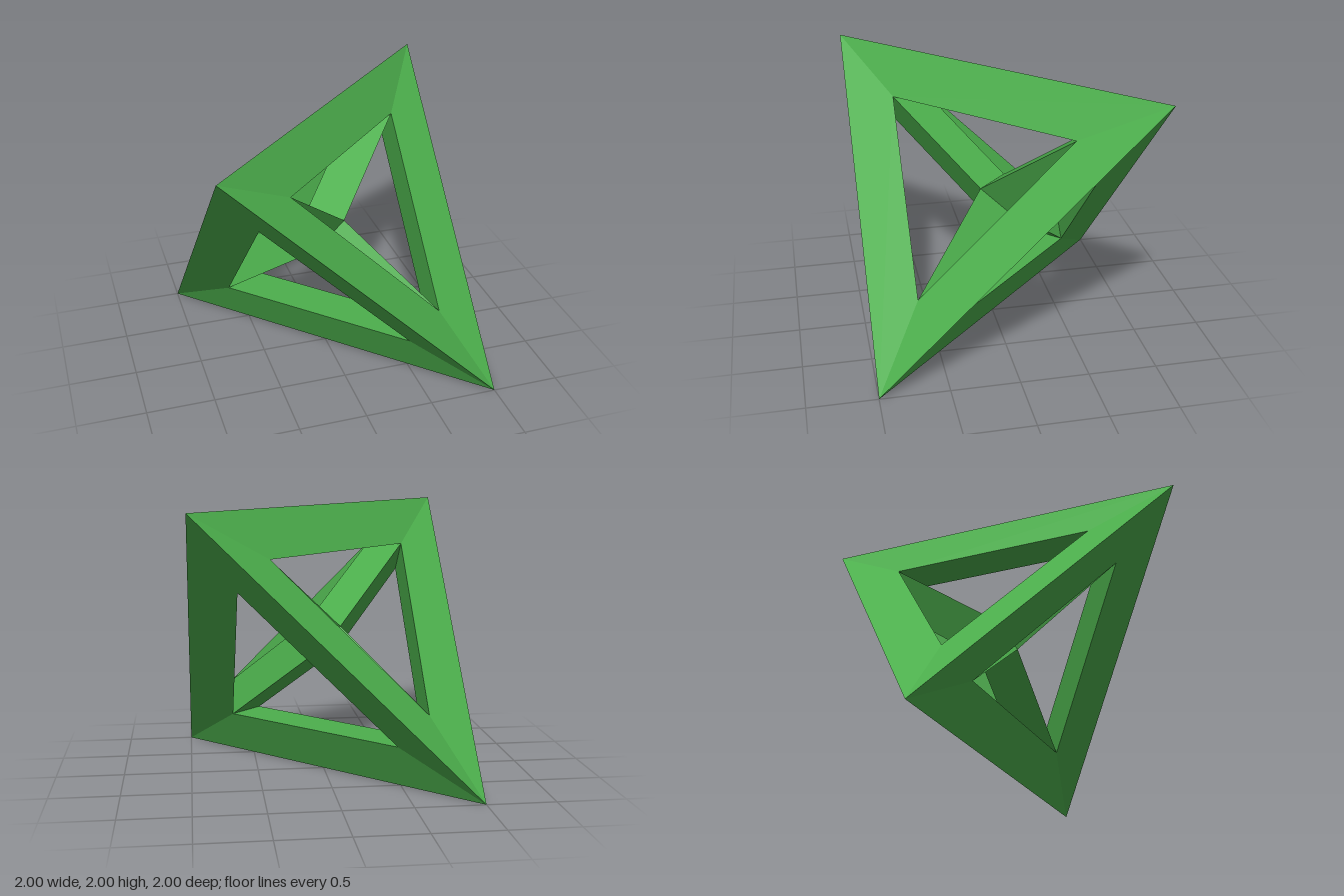
import * as THREE from 'three';

// Tetrahedral frame: six triangular edge bars plus four spokes meeting at the centre.
const corners = [[-1, 1, 1], [1, -1, 1], [1, 1, -1], [-1, -1, -1]].map(c => new THREE.Vector3(...c));
const THICK = 1 / 9;

// Apex of the hollow behind the face opposite corner f
const hollowApex = f => corners[f].clone().multiplyScalar(-THICK);
// Corner of the opening in face f, next to corner c
const openingCorner = (f, c) => hollowApex(f).addScaledVector(corners[c], 5 * THICK);

// Skin between two triangular sections, every quad turned outwards
function prism(start, end) {
  const centre = new THREE.Vector3();
  [...start, ...end].forEach(p => centre.addScaledVector(p, 1 / 6));
  const points = [];
  for (let i = 0; i < 3; i++) {
    const j = (i + 1) % 3;
    let [a, b, c, d] = [start[i], start[j], end[j], end[i]];
    const normal = c.clone().sub(a).cross(d.clone().sub(b));
    const out = a.clone().add(b).add(c).add(d).divideScalar(4).sub(centre);
    if (normal.dot(out) < 0) [b, d] = [d, b];
    points.push(a, b, c, a, c, d);
  }
  const geometry = new THREE.BufferGeometry().setFromPoints(points);
  geometry.computeVertexNormals();
  return geometry;
}

export function createModel() {
  const model = new THREE.Group();
  model.name = 'tetrahedronFrame';
  const material = new THREE.MeshStandardMaterial({ color: 0x4caf4c, flatShading: true });
  const add = (name, geometry) => {
    const mesh = new THREE.Mesh(geometry, material);
    mesh.name = name;
    mesh.position.y = 1;
    model.add(mesh);
  };

  for (let a = 0; a < 4; a++) {
    const others = [0, 1, 2, 3].filter(i => i !== a);

    // Edge bars: sharp outer edge, flat inner side
    for (const b of others.filter(i => i > a)) {
      const faces = others.filter(i => i !== b);
      const section = c => [corners[c], ...faces.map(f => openingCorner(f, c))];
      add('edgeBar', prism(section(a), section(b)));
    }

    // Spoke from the corner to the centre
    add('spoke', prism(others.map(f => openingCorner(f, a)), others.map(hollowApex)));
  }
  return model;
}
